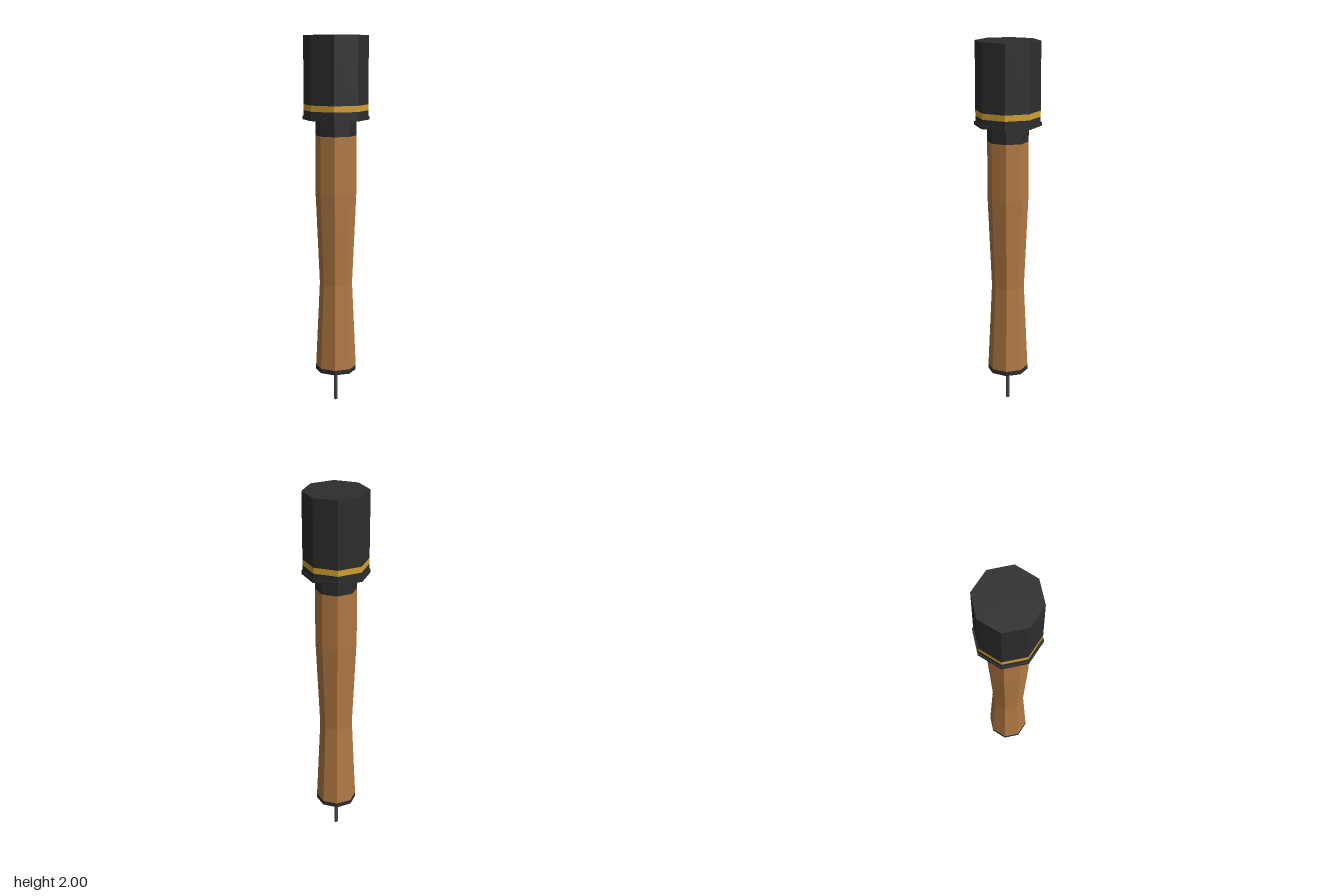
import * as THREE from 'three';

const SIDES = 8;

function flatMaterial(name, color) {
  const m = new THREE.MeshStandardMaterial({ color, flatShading: true });
  m.name = name;
  return m;
}

export function createModel() {
  const group = new THREE.Group();
  const black = flatMaterial('black metal', 0x2d2d2d);
  const wood = flatMaterial('brown wood', 0xb27a43);
  const gold = flatMaterial('gold band', 0xd2a02e);
  const grey = flatMaterial('grey cord', 0x484848);

  // Revolves a profile of [radius, y] points, listed bottom to top on the outside
  function turned(name, points, material) {
    const profile = points.map(([r, y]) => new THREE.Vector2(r, y));
    const mesh = new THREE.Mesh(new THREE.LatheGeometry(profile, SIDES), material);
    mesh.name = name;
    group.add(mesh);
  }

  const solid = (name, r, y0, y1, material) =>
    turned(name, [[0, y0], [r, y0], [r, y1], [0, y1]], material);

  // Pull cord hanging out of the handle
  solid('pullCord', 0.01, 0, 0.2, grey);

  // Open ring around the handle's end
  turned('endRing', [[0.065, 0.175], [0.11, 0.175], [0.11, 0.2], [0.065, 0.2], [0.065, 0.175]], black);

  // Waisted wooden handle
  turned('handle', [[0, 0.198], [0.11, 0.198], [0.088, 0.67], [0.11, 1.17], [0.11, 1.475], [0, 1.475]], wood);

  // Collar and flange joining handle and head
  solid('collar', 0.11, 1.475, 1.56, black);
  solid('flange', 0.178, 1.56, 1.578, black);

  // Head, split by a painted band
  solid('headBase', 0.172, 1.578, 1.608, black);
  solid('headBand', 0.172, 1.608, 1.64, gold);
  solid('head', 0.172, 1.64, 2, black);

  return group;
}
